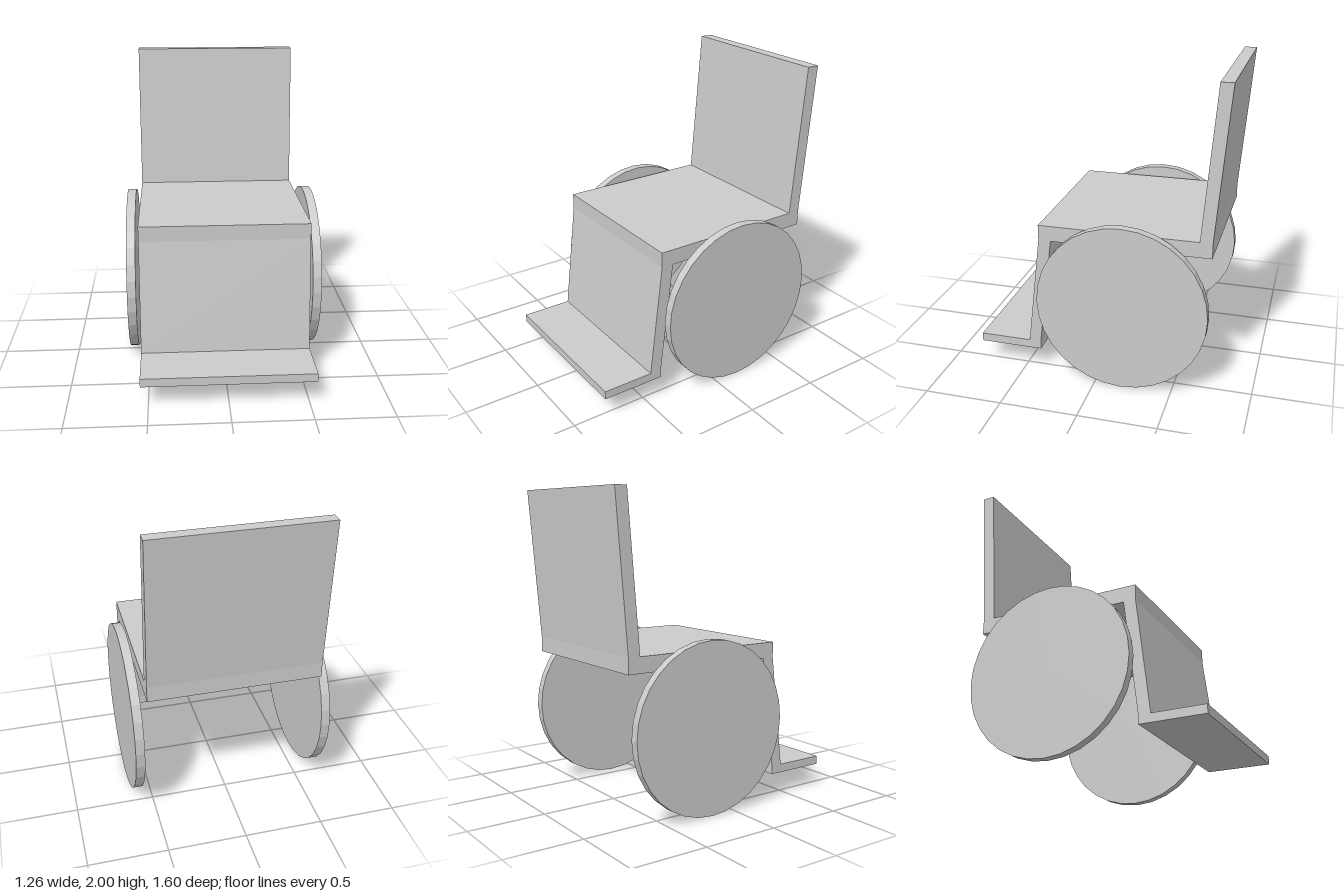
import * as THREE from 'three';

const WIDTH = 1.095;

export function createModel() {
  const group = new THREE.Group();
  group.name = 'wheelchair';
  const material = new THREE.MeshStandardMaterial({ color: 0xcccccc, flatShading: true });

  // Panel across the full width from a [z, y] side profile
  function addPanel(name, profile) {
    const shape = new THREE.Shape(profile.map(([z, y]) => new THREE.Vector2(z, y)));
    const geometry = new THREE.ExtrudeGeometry(shape, { depth: WIDTH, bevelEnabled: false });
    geometry.rotateY(-Math.PI / 2).translate(WIDTH / 2, 0, 0);
    const mesh = new THREE.Mesh(geometry, material);
    mesh.name = name;
    group.add(mesh);
  }

  addPanel('seat', [[-0.72, 0.93], [0.38, 0.93], [0.38, 1.03], [-0.72, 1.03]]);
  addPanel('backrest', [[-0.72, 1.03], [-0.64, 1.03], [-0.72, 2], [-0.8, 2]]);
  addPanel('legPanel', [[0.39, 0.2], [0.467, 0.2], [0.38, 0.93], [0.3, 0.93]]);
  addPanel('footPlate', [[0.39, 0.145], [0.803, 0.145], [0.803, 0.2], [0.39, 0.2]]);

  // Solid disc wheels
  const wheelGeometry = new THREE.CylinderGeometry(0.548, 0.548, 0.058, 32);
  wheelGeometry.rotateZ(Math.PI / 2);
  for (const [name, side] of [['leftWheel', 1], ['rightWheel', -1]]) {
    const wheel = new THREE.Mesh(wheelGeometry, material);
    wheel.name = name;
    wheel.position.set(side * 0.602, 0.55, -0.172);
    group.add(wheel);
  }

  return group;
}
